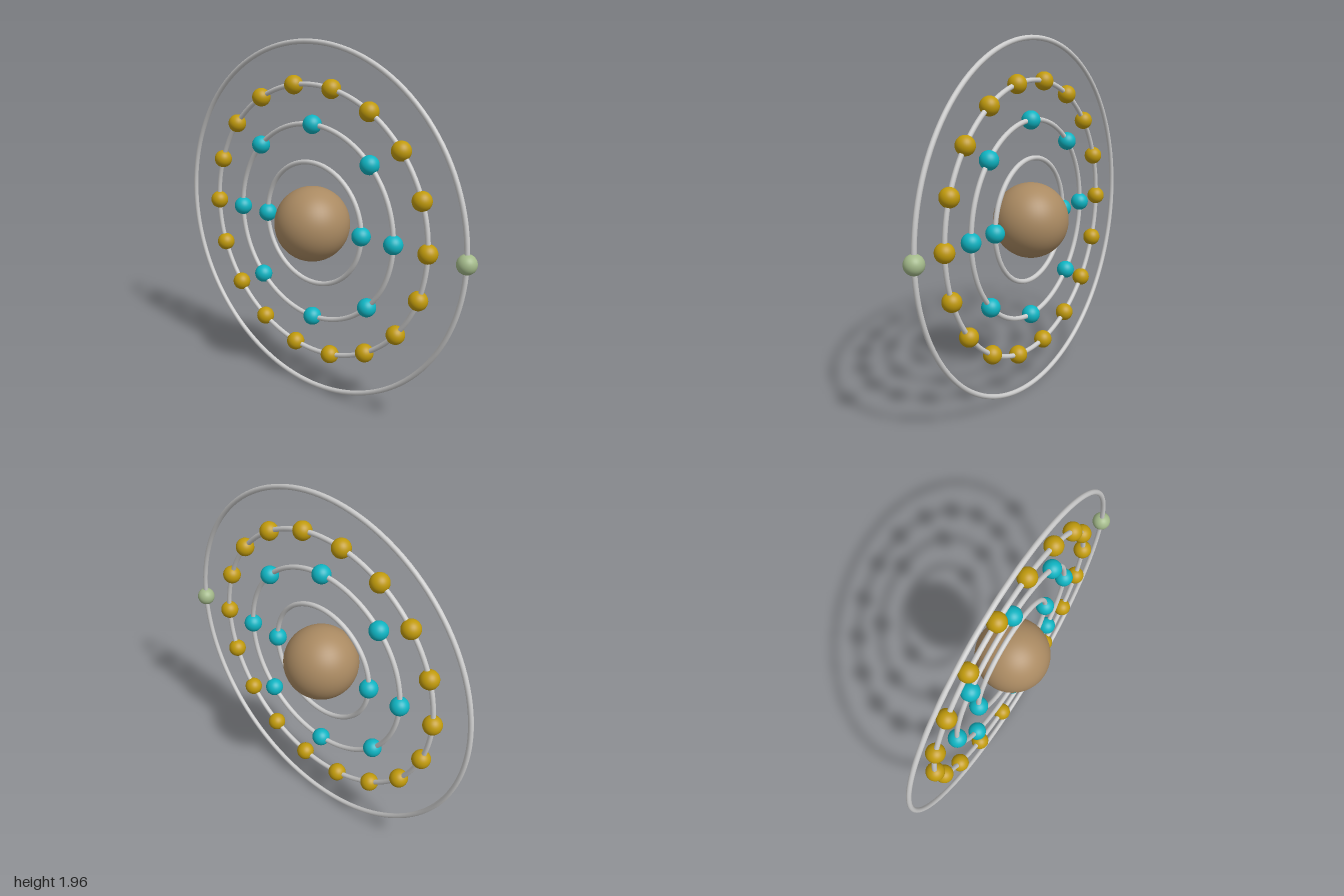
import * as THREE from 'three';

const CENTER = new THREE.Vector3(-0.0185, 0.9815, 0);
const TUBE = 0.0135;
const BALL = 0.0505;

// Orbits from the inside out: radius, number of electrons, colour
const SHELLS = [
  { name: 'firstShell', radius: 0.339, count: 2, color: 0x0fb4c2 },
  { name: 'secondShell', radius: 0.544, count: 8, color: 0x0fb4c2 },
  { name: 'thirdShell', radius: 0.751, count: 18, color: 0xc09a0c },
  { name: 'outerShell', radius: 0.968, count: 1, color: 0xa3b98a },
];

function addMesh(parent, name, geometry, material) {
  const mesh = new THREE.Mesh(geometry, material);
  mesh.name = name;
  parent.add(mesh);
  return mesh;
}

export function createModel() {
  const model = new THREE.Group();
  model.name = 'atomModel';

  const atom = new THREE.Group();
  atom.name = 'atom';
  atom.position.copy(CENTER);
  model.add(atom);

  // Nucleus
  addMesh(atom, 'nucleus', new THREE.SphereGeometry(0.206, 48, 32),
    new THREE.MeshStandardMaterial({ color: 0xaa8a62 }));

  const ringMaterial = new THREE.MeshStandardMaterial({ color: 0xcccccc });
  const ballGeometry = new THREE.SphereGeometry(BALL, 32, 20);

  // Orbit rings with evenly spaced electrons, all in the upright plane
  for (const { name, radius, count, color } of SHELLS) {
    const shell = new THREE.Group();
    shell.name = name;
    atom.add(shell);

    addMesh(shell, 'orbitRing', new THREE.TorusGeometry(radius, TUBE, 12, 128), ringMaterial);

    const ballMaterial = new THREE.MeshStandardMaterial({ color });
    for (let i = 0; i < count; i++) {
      const a = (i / count) * Math.PI * 2;
      addMesh(shell, 'electron', ballGeometry, ballMaterial)
        .position.set(radius * Math.cos(a), radius * Math.sin(a), 0);
    }
  }
  return model;
}
